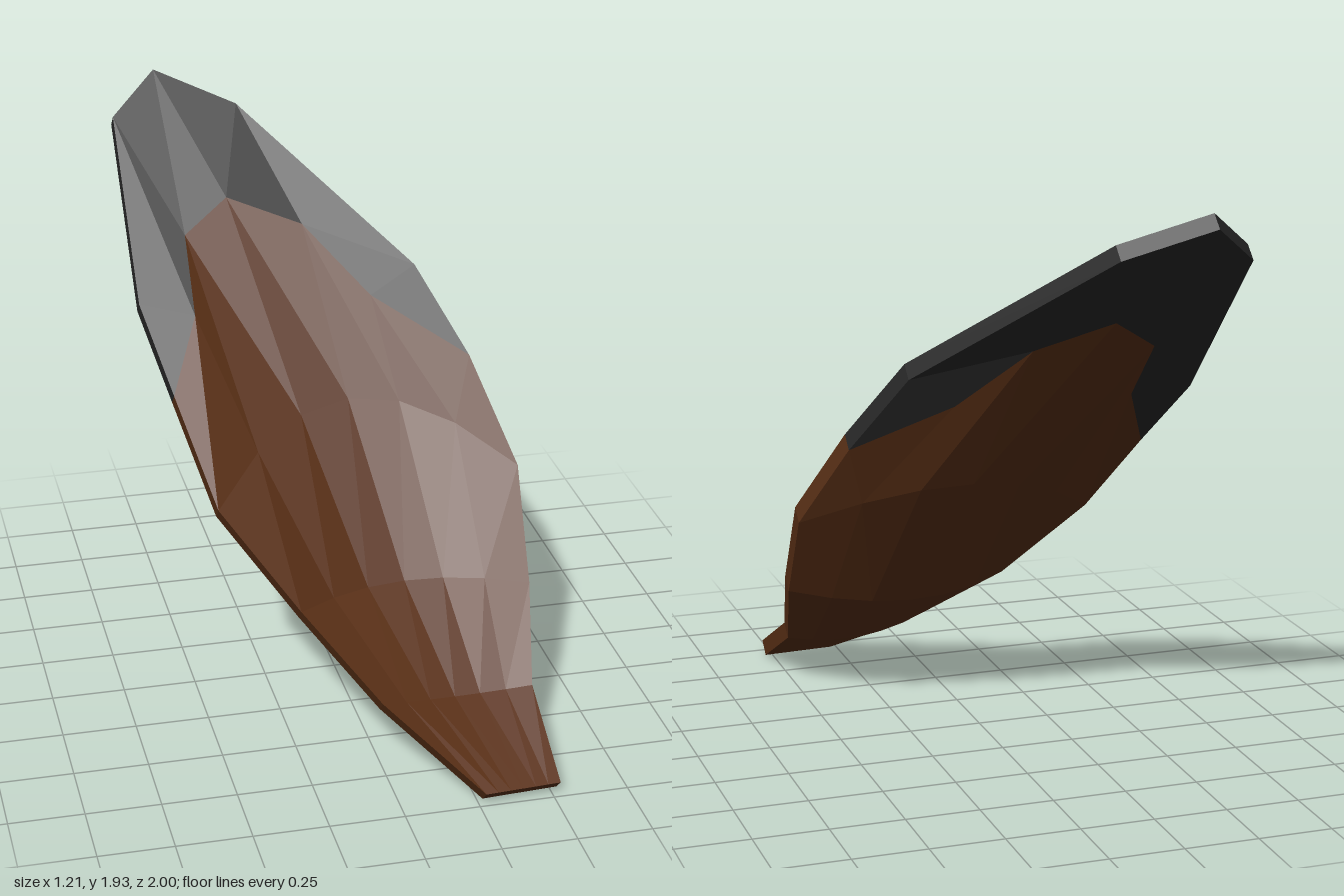
import * as THREE from 'three';

const COLS = 6;
const OFFSET = new THREE.Vector3(0, -0.043, -0.045); // front face to back face
const v = (p) => new THREE.Vector3(...p);

// Cross-section from left edge to right edge, bowed at its middle by (dy, dz)
function bowedRow(left, right, dy, dz) {
  return Array.from({ length: COLS + 1 }, (_, i) => {
    const t = i / COLS, k = 4 * t * (1 - t);
    return v(left).lerp(v(right), t).add(new THREE.Vector3(0, dy * k, dz * k));
  });
}

function addQuad(out, a, b, c, d) {
  for (const p of [a, b, c, a, c, d]) out.push(p.x, p.y, p.z);
}

const behind = (p) => p.clone().add(OFFSET);

function makeMesh(name, positions, material) {
  const geometry = new THREE.BufferGeometry();
  geometry.setAttribute('position', new THREE.Float32BufferAttribute(positions, 3));
  geometry.computeVertexNormals();
  const mesh = new THREE.Mesh(geometry, material);
  mesh.name = name;
  return mesh;
}

// Curved plate: front and back skins through the rows, plus a rim along a path
function plate(name, rows, rimPath, color) {
  const material = new THREE.MeshStandardMaterial({ color, flatShading: true });
  const front = [], back = [], rim = [];
  for (let r = 0; r < rows.length - 1; r++) {
    for (let c = 0; c < COLS; c++) {
      const q = [rows[r][c], rows[r][c + 1], rows[r + 1][c + 1], rows[r + 1][c]];
      addQuad(front, ...q);
      const [a, b, d, e] = q.map(behind);
      addQuad(back, a, e, d, b);
    }
  }
  for (let i = 0; i < rimPath.length - 1; i++) {
    const p = rimPath[i], n = rimPath[i + 1];
    addQuad(rim, p, behind(p), behind(n), n);
  }
  const group = new THREE.Group();
  group.name = name;
  group.add(
    makeMesh(name + 'Front', front, material),
    makeMesh(name + 'Back', back, material),
    makeMesh(name + 'Rim', rim, material),
  );
  return group;
}

export function createModel() {
  const model = new THREE.Group();
  model.name = 'curvedFeather';

  // Line where the brown blade meets the dark tip
  const seam = [
    [-0.53, 1.06, -0.1], [-0.42, 1.27, -0.28], [-0.41, 1.48, -0.5], [-0.25, 1.58, -0.57],
    [0, 1.49, -0.49], [0.2, 1.28, -0.3], [0.5, 1.11, -0.1],
  ].map(v);

  // Outer edge of the dark tip, left to right
  const tipEdge = [
    [-0.53, 1.06, -0.1], [-0.6, 1.3, -0.35], [-0.595, 1.81, -0.84], [-0.43, 1.935, -0.955],
    [-0.16, 1.83, -0.83], [0.355, 1.38, -0.3], [0.5, 1.11, -0.1],
  ].map(v);

  // Brown blade: trough-shaped sections from the narrow foot upwards
  const bladeRows = [
    bowedRow([0.27, 0.05, 1], [0.525, 0.05, 0.985], 0, 0),
    bowedRow([0, 0.25, 0.7], [0.525, 0.225, 0.65], -0.03, -0.04),
    bowedRow([-0.21, 0.47, 0.42], [0.58, 0.48, 0.41], -0.02, -0.16),
    bowedRow([-0.44, 0.76, 0.19], [0.605, 0.8, 0.16], 0.19, -0.32),
    seam,
  ];
  const leftSide = bladeRows.map((row) => row[0]).reverse();
  const rightSide = bladeRows.map((row) => row[COLS]);
  model.add(plate('blade', bladeRows, [...leftSide, ...rightSide], 0x5a3016));

  // Dark tip
  model.add(plate('tip', [seam, tipEdge], [...tipEdge].reverse(), 0x282828));
  return model;
}
